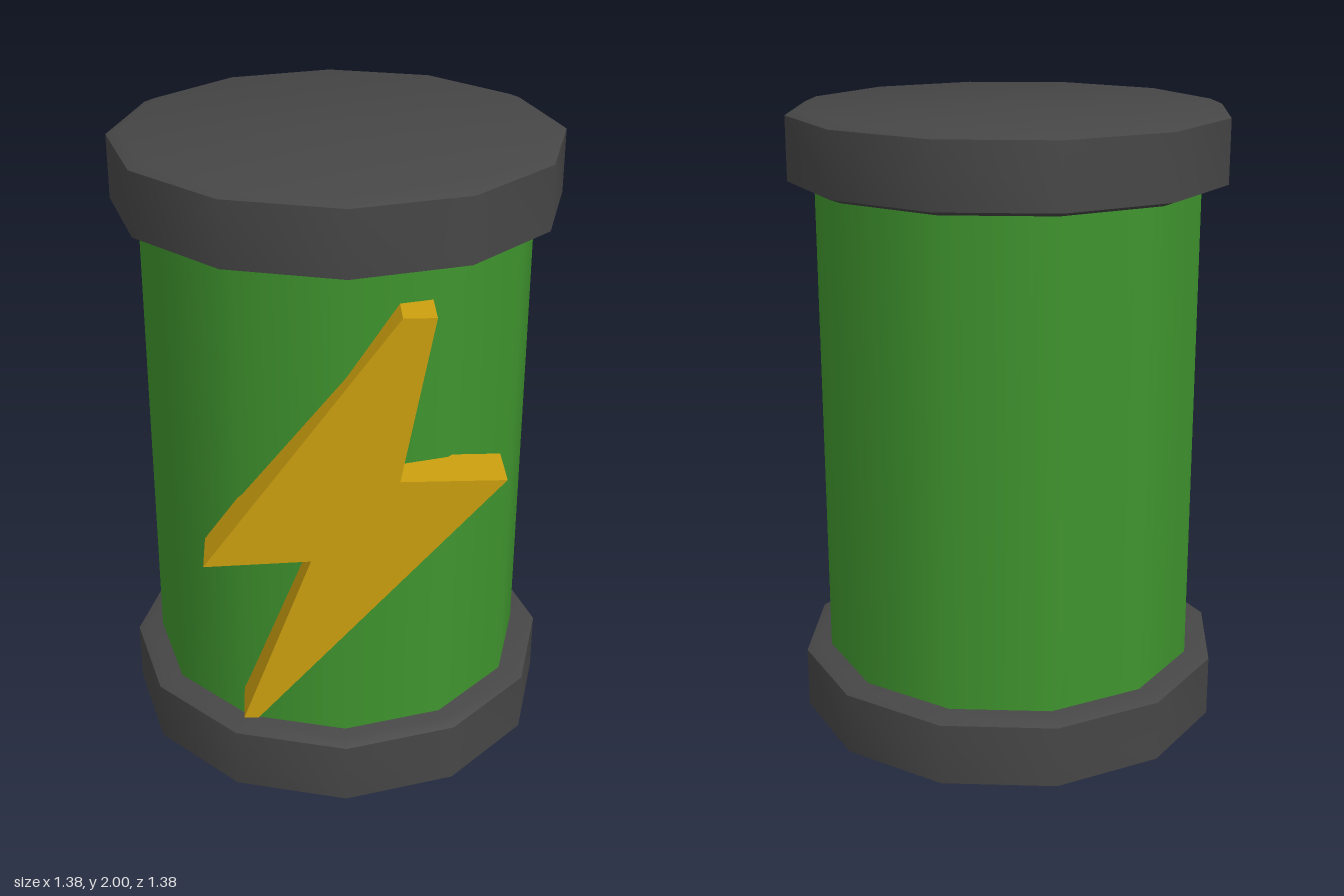
import * as THREE from 'three';
import { toCreasedNormals } from 'three/addons/utils/BufferGeometryUtils.js';

const SIDES = 12;

export function createModel() {
  const model = new THREE.Group();
  model.name = 'battery';

  const paint = (name, color) => {
    const material = new THREE.MeshStandardMaterial({ color });
    material.name = name;
    return material;
  };
  const green = paint('green', 0x3f942e);
  const darkGrey = paint('darkGrey', 0x464646);
  const yellow = paint('yellow', 0xcca010);

  const add = (name, geometry, material) => {
    const mesh = new THREE.Mesh(geometry, material);
    mesh.name = name;
    model.add(mesh);
    return mesh;
  };

  // Body tube, its ends hidden inside the caps
  const body = add('body', new THREE.CylinderGeometry(0.608, 0.608, 1.8, SIDES, 1, true), green);
  body.position.y = 1;

  // Bevelled end caps
  const profile = [[0, 0], [0.65, 0], [0.69, 0.017], [0.69, 0.215], [0.65, 0.23], [0, 0.23]]
    .map(([r, y]) => new THREE.Vector2(r, y));
  const capGeometry = toCreasedNormals(new THREE.LatheGeometry(profile, SIDES), 0.6);
  add('bottomCap', capGeometry, darkGrey);
  const topCap = add('topCap', capGeometry, darkGrey);
  topCap.rotation.x = Math.PI;
  topCap.position.y = 2;

  // Lightning bolt, partly sunk into the front of the body
  const outline = [
    [0.15, 1.663], [-0.42, 0.884], [-0.105, 0.895], [-0.315, 0.333],
    [-0.27, 0.333], [0.46, 1.155], [0.152, 1.155], [0.245, 1.663],
  ].map(([x, y]) => new THREE.Vector2(x, y));
  const boltGeometry = new THREE.ExtrudeGeometry(new THREE.Shape(outline), { depth: 0.16, bevelEnabled: false });
  const bolt = add('lightningBolt', boltGeometry, yellow);
  bolt.position.z = 0.512;

  return model;
}
